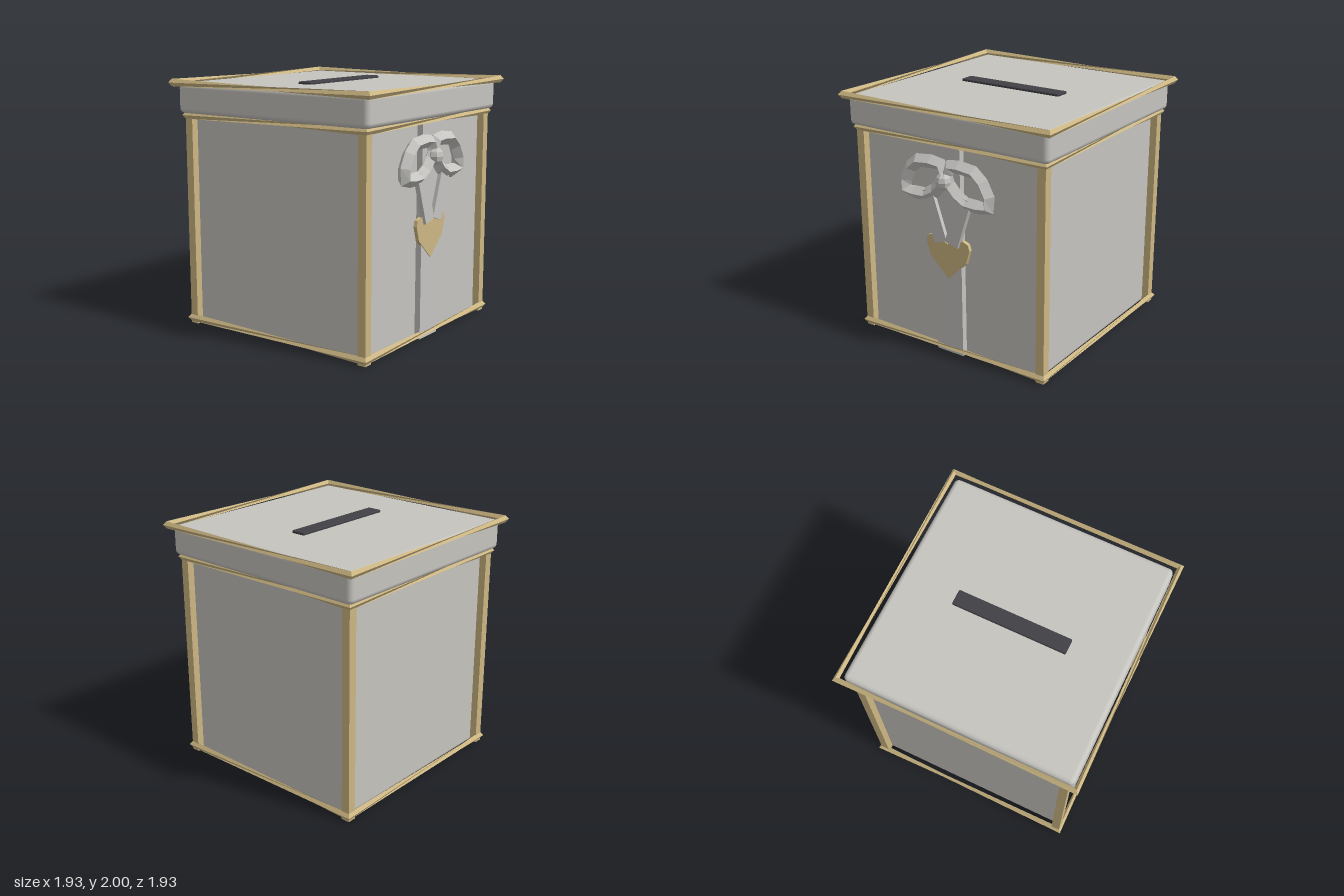
import * as THREE from 'three';
import { RoundedBoxGeometry } from 'three/addons/geometries/RoundedBoxGeometry.js';

const mat = (name, color, flatShading = false) => {
  const m = new THREE.MeshStandardMaterial({ color, flatShading });
  m.name = name;
  return m;
};

// Closed four-sided tube through points that run counterclockwise about axis n.
// twist shifts each ring against the next by that many quarter turns.
function loopTube(points, n, r, twist = 0) {
  const count = points.length;
  const rings = points.map((p, i) => {
    const before = p.clone().sub(points[(i + count - 1) % count]).normalize();
    const after = points[(i + 1) % count].clone().sub(p).normalize();
    const out = before.add(after).normalize().cross(n).normalize();
    return [0, 1, 2, 3].map((k) => {
      const a = (k * Math.PI) / 2;
      return p.clone().addScaledVector(out, r * Math.cos(a)).addScaledVector(n, r * Math.sin(a));
    });
  });
  const tris = [];
  for (let i = 0; i < count; i++) {
    const r0 = rings[i], r1 = rings[(i + 1) % count];
    for (let k = 0; k < 4; k++) {
      const a = r0[k], b = r0[(k + 1) % 4];
      const c = r1[(k + 1 + twist) % 4], d = r1[(k + twist) % 4];
      tris.push(a, d, c, a, c, b);
    }
  }
  const geo = new THREE.BufferGeometry().setFromPoints(tris);
  geo.computeVertexNormals();
  return geo;
}

export function createModel() {
  const group = new THREE.Group();
  group.name = 'giftCardBox';
  const paper = mat('paper grey', 0xc6c4bf);
  const ribbon = mat('ribbon grey', 0xc5c4c1, true);
  const gold = mat('gold trim', 0xcdb783, true);
  const dark = mat('slot dark', 0x404046);

  const add = (name, geo, material, x = 0, y = 0, z = 0) => {
    const mesh = new THREE.Mesh(geo, material);
    mesh.name = name;
    mesh.position.set(x, y, z);
    group.add(mesh);
    return mesh;
  };

  // Box, lid and card slot
  add('body', new RoundedBoxGeometry(1.64, 1.76, 1.64, 2, 0.03), paper, 0, 0.885, 0);
  add('lid', new RoundedBoxGeometry(1.83, 0.24, 1.83, 2, 0.04), paper, 0, 1.85, 0);
  add('cardSlot', new RoundedBoxGeometry(0.92, 0.03, 0.125, 2, 0.01), dark, 0, 1.975, 0);

  // Corner posts
  for (const x of [-0.84, 0.84])
    for (const z of [-0.84, 0.84])
      add('cornerPost', new THREE.BoxGeometry(0.07, 1.72, 0.07), gold, x, 0.86, z);

  // Square trim cords around the base, under the lid and on top
  const up = new THREE.Vector3(0, 1, 0);
  const trims = [
    ['baseTrim', 0.872, 0.043, 0.032],
    ['bodyTopTrim', 0.872, 1.713, 0.03],
    ['lidTrim', 0.946, 1.971, 0.029],
  ];
  for (const [name, c, y, r] of trims) {
    const corners = [[c, -c], [-c, -c], [-c, c], [c, c]].map(([x, z]) => new THREE.Vector3(x, y, z));
    add(name, loopTube(corners, up, r, 1), gold);
  }

  // Vertical ribbon
  add('ribbonBand', new THREE.BoxGeometry(0.25, 1.72, 0.06), ribbon, -0.002, 0.86, 0.838);

  // Bow loops and tails, mirrored
  const loop = [
    [-0.388, 1.385], [-0.388, 1.3], [-0.3, 1.288], [-0.19, 1.292], [-0.105, 1.34], [-0.03, 1.42],
    [-0.01, 1.49], [-0.04, 1.555], [-0.13, 1.563], [-0.26, 1.55], [-0.335, 1.485],
  ];
  const front = new THREE.Vector3(0, 0, 1);
  for (const s of [1, -1]) {
    const pts = loop.map(([x, y]) => new THREE.Vector3(s * x, y, 0.875));
    if (s < 0) pts.reverse();
    add(s > 0 ? 'rightBowLoop' : 'leftBowLoop', loopTube(pts, front, 0.055), ribbon);
    const tail = add(s > 0 ? 'rightTail' : 'leftTail', new THREE.BoxGeometry(0.122, 0.415, 0.04),
      ribbon, s * -0.117, 1.138, 0.879);
    tail.rotation.z = s * 0.325;
  }

  // Knot
  const knot = add('bowKnot', new THREE.SphereGeometry(0.066, 8, 6), ribbon, 0, 1.44, 0.902);
  knot.scale.y = 1.08;

  // Heart tag
  const half = [[0.17, 0.8], [0.205, 0.915], [0.19, 0.962], [0.14, 0.98], [0.085, 0.965]];
  const outline = [
    [0, 0.64], ...half, [0, 0.925],
    ...half.map(([x, y]) => [-x, y]).reverse(),
  ].map(([x, y]) => new THREE.Vector2(x, y));
  add('heartTag', new THREE.ExtrudeGeometry(new THREE.Shape(outline), { depth: 0.03, bevelEnabled: false }),
    gold, 0, 0, 0.845);

  return group;
}
